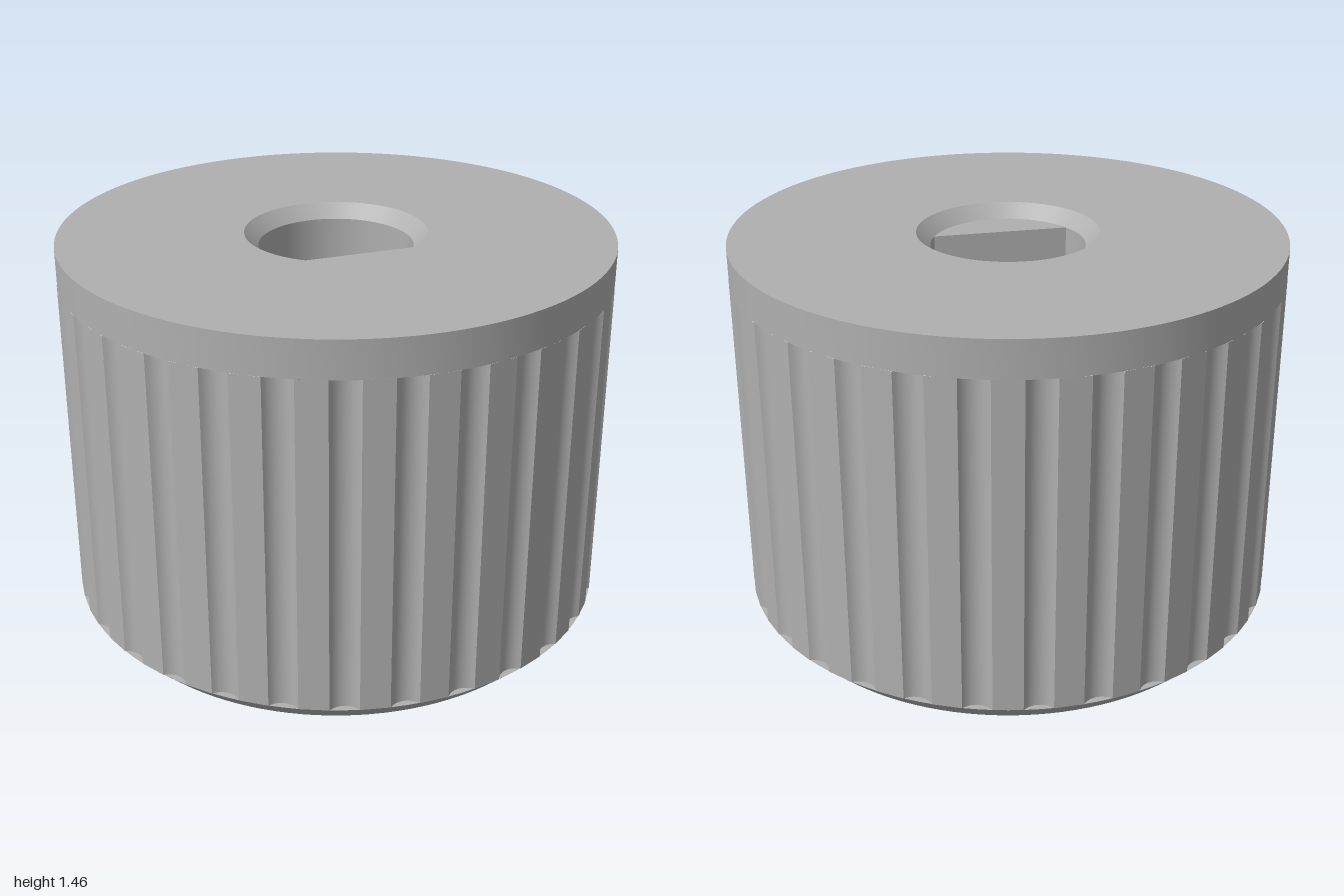
import * as THREE from 'three';
import { toCreasedNormals } from 'three/addons/utils/BufferGeometryUtils.js';

const HEIGHT = 1.455, GRIP_BOTTOM = 0.09, GRIP_TOP = 1.32;
const BORE_R = 0.28, BORE_TOP = 1.405, BORE_FLOOR = 0.35, FLAT_Z = 0.13;
const CREASE = 0.5;

export function createModel() {
  const grey = new THREE.MeshStandardMaterial({ color: 0xb0b0b0 });
  grey.name = 'grey plastic';
  const knob = new THREE.Group();
  knob.name = 'knob';

  const add = (name, geometry) => {
    const mesh = new THREE.Mesh(geometry, grey);
    mesh.name = name;
    knob.add(mesh);
  };

  // Point on a circle around the y axis, as (x, z); angle 0 is the front
  const polar = (r, a) => new THREE.Vector2(r * Math.sin(a), r * Math.cos(a));
  const arc = (r, from, to, n) =>
    Array.from({ length: n + 1 }, (_, i) => polar(r, from + ((to - from) * i) / n));

  // Upright wall along a closed outline; counterclockwise from above faces outward
  const wall = (outline, y0, y1) => {
    const pos = [];
    outline.forEach((p, i) => {
      const q = outline[(i + 1) % outline.length];
      pos.push(p.x, y0, p.y, q.x, y0, q.y, q.x, y1, q.y);
      pos.push(p.x, y0, p.y, q.x, y1, q.y, p.x, y1, p.y);
    });
    const g = new THREE.BufferGeometry();
    g.setAttribute('position', new THREE.Float32BufferAttribute(pos, 3));
    return toCreasedNormals(g, CREASE);
  };

  // Level face filling an outline, facing up or down, with an optional hole
  const level = (outline, y, up, hole) => {
    const s = up ? -1 : 1;
    const flip = (pts) => pts.map((p) => new THREE.Vector2(p.x, s * p.y));
    const shape = new THREE.Shape(flip(outline));
    if (hole) shape.holes.push(new THREE.Path(flip(hole)));
    return new THREE.ShapeGeometry(shape).rotateX((s * Math.PI) / 2).translate(0, y, 0);
  };

  const lathe = (points) => toCreasedNormals(
    new THREE.LatheGeometry(points.map(([r, y]) => new THREE.Vector2(r, y)), 120), CREASE);

  // Plain band, top face and countersink
  add('crown', lathe([[0.9, GRIP_TOP], [1, GRIP_TOP], [1, HEIGHT], [0.33, HEIGHT], [BORE_R, BORE_TOP]]));

  // Chamfered lower rim
  add('lowerRim', lathe([[0.91, 0], [1, GRIP_BOTTOM], [0.9, GRIP_BOTTOM]]));

  // Grip with thirty shallow rounded flutes
  const flutes = 30, step = (2 * Math.PI) / flutes;
  const fluteR = 0.0667, fluteCentre = 0.975 + fluteR, spread = 0.893;
  const grip = [];
  for (let i = 0; i < flutes; i++) {
    const a = (i + 0.5) * step;
    for (let k = 0; k <= 10; k++) {
      const phi = spread * (k / 5 - 1);
      const radial = fluteCentre - fluteR * Math.cos(phi);
      const side = fluteR * Math.sin(phi);
      grip.push(polar(Math.hypot(radial, side), a + Math.atan2(side, radial)));
    }
    grip.push(polar(1, a + step * 0.42), polar(1, a + step * 0.58));
  }
  add('flutedGrip', wall(grip, GRIP_BOTTOM, GRIP_TOP));

  // D-shaped shaft bore and the ledge beside its flat
  const t = Math.acos(FLAT_Z / BORE_R);
  const bore = arc(BORE_R, t, 2 * Math.PI - t, 78);
  add('boreWall', wall([...bore].reverse(), BORE_FLOOR, BORE_TOP));
  add('boreFloor', level(bore, BORE_FLOOR, true));
  add('boreLedge', level(arc(BORE_R, -t, t, 42), BORE_TOP, true));

  // Underside with the sunken pointer slot
  const slot = [[-0.05, 0.3], [-0.05, 0.905], [0.05, 0.905], [0.05, 0.3]]
    .map(([x, z]) => new THREE.Vector2(x, z));
  const slotDepth = 0.05;
  add('underside', level(arc(0.91, 0, 2 * Math.PI, 120).slice(0, -1), 0, false, slot));
  add('slotWall', wall([...slot].reverse(), 0, slotDepth));
  add('slotFloor', level(slot, slotDepth, false));

  return knob;
}
